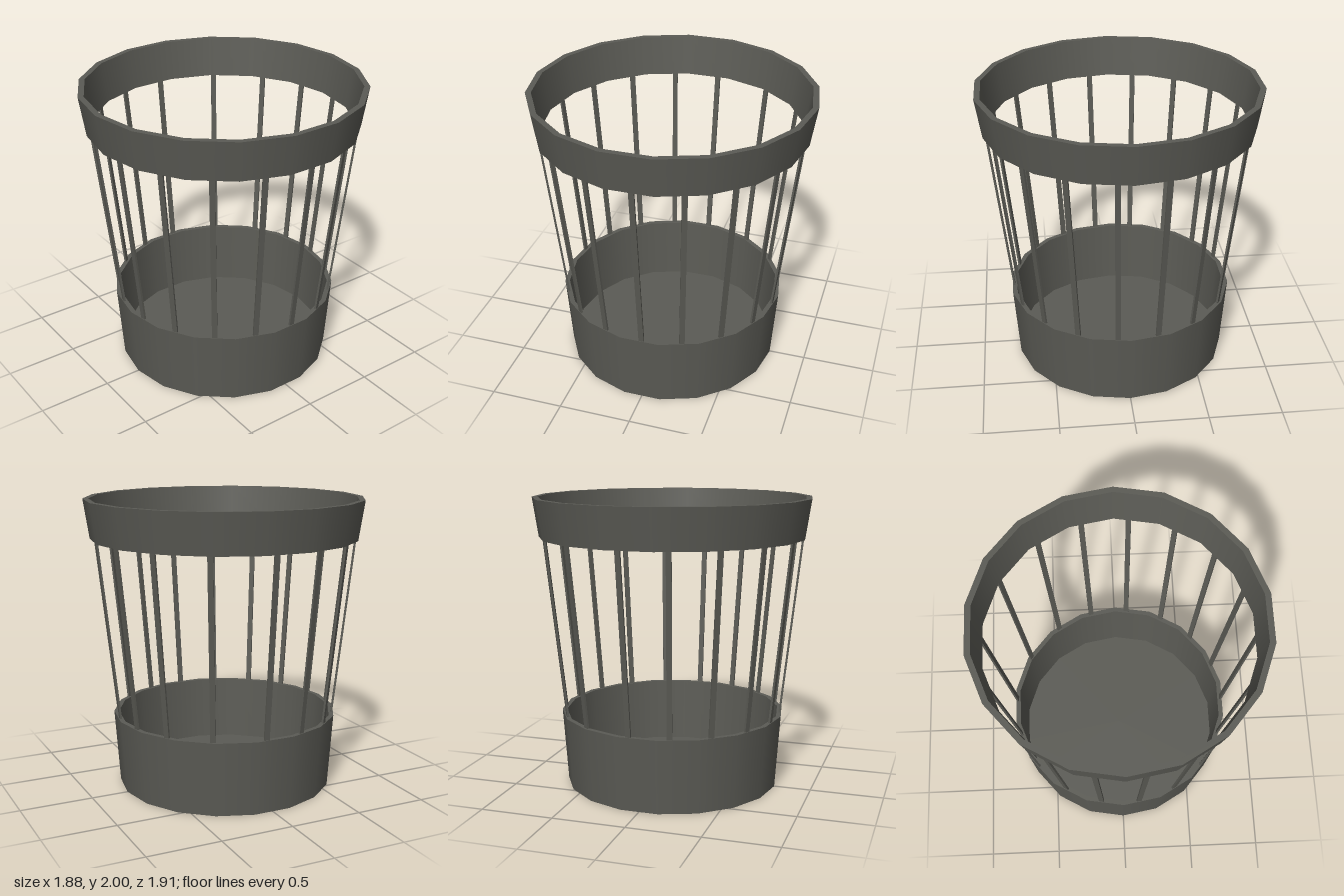
import * as THREE from 'three';
import { mergeGeometries } from 'three/addons/utils/BufferGeometryUtils.js';

const SIDES = 18;

// Revolves each profile segment on its own: smooth around, sharp between bands
function turned(profile) {
  const bands = [];
  for (let i = 0; i < profile.length - 1; i++) {
    const pts = [profile[i], profile[i + 1]].map(([r, y]) => new THREE.Vector2(r, y));
    bands.push(new THREE.LatheGeometry(pts, SIDES));
  }
  return mergeGeometries(bands);
}

// Upright slat whose radius grows with height
function slatGeometry() {
  const y0 = 0.45, y1 = 1.79;
  const geo = new THREE.BoxGeometry(0.014, y1 - y0, 0.036);
  geo.translate(0, (y0 + y1) / 2, 0);
  const p = geo.attributes.position;
  for (let i = 0; i < p.count; i++) {
    p.setX(i, p.getX(i) + 0.757 + (p.getY(i) - 0.51) * 0.108);
  }
  geo.computeVertexNormals();
  return geo;
}

export function createModel() {
  const model = new THREE.Group();
  model.name = 'slattedBasket';
  const charcoal = new THREE.MeshStandardMaterial({ color: 0x5b5b55 });
  charcoal.name = 'charcoal';

  const add = (name, geo, parent = model) => {
    const mesh = new THREE.Mesh(geo, charcoal);
    mesh.name = name;
    parent.add(mesh);
    return mesh;
  };

  // Base tub with a raised floor and a shallow recess underneath
  add('baseTub', turned([
    [0, 0.03], [0.717, 0.03], [0.715, 0], [0.745, 0], [0.78, 0.51],
    [0.747, 0.51], [0.719, 0.06], [0, 0.06],
  ]));

  // Flared top band
  add('topBand', turned([
    [0.875, 1.73], [0.914, 1.73], [0.955, 2], [0.916, 2], [0.875, 1.73],
  ]));

  // Slats: sixteen evenly stepped, one set slightly apart
  const slats = new THREE.Group();
  slats.name = 'slats';
  model.add(slats);
  const geo = slatGeometry();
  const angles = [211.2];
  for (let i = 0; i < 16; i++) angles.push(235.2 + i * 20.63);
  for (const a of angles) {
    add('slat', geo, slats).rotation.y = -THREE.MathUtils.degToRad(a);
  }
  return model;
}
